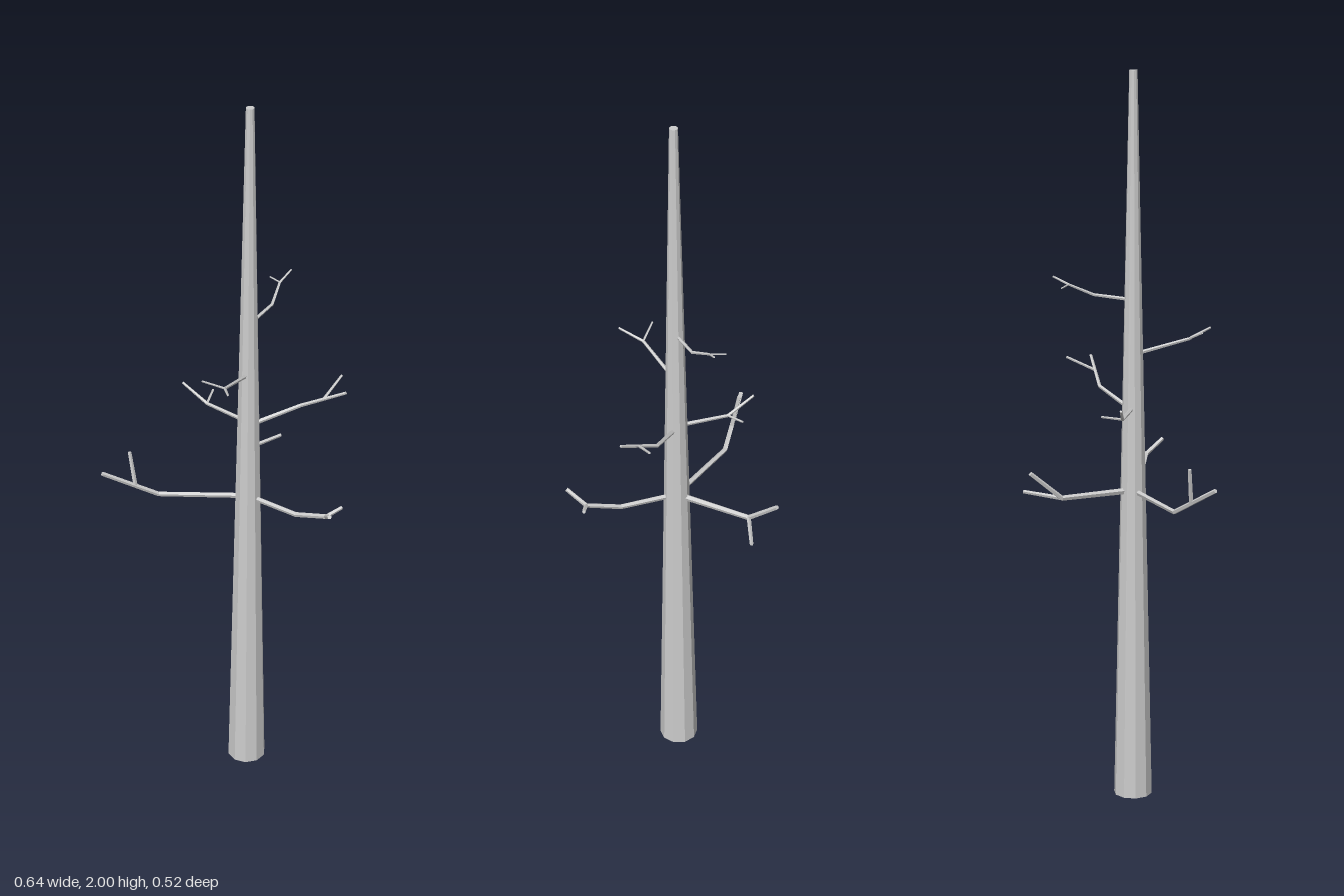
import * as THREE from 'three';

const TRUNK = { x: 0.064, z: 0.05, base: 0.053, top: 0.011, height: 2, sides: 10 };
const BRANCH_SIDES = 5;

// Lofts a tapering faceted limb through the points, with mitred rings and capped ends.
function limbGeometry(points, r0, r1) {
  const p = points.map((a) => new THREE.Vector3(...a));
  const last = p.length - 1;
  const side = new THREE.Vector3();
  const up = new THREE.Vector3();
  const positions = [];
  p.forEach((point, i) => {
    const dir = p[Math.min(i + 1, last)].clone().sub(p[Math.max(i - 1, 0)]).normalize();
    const ref = Math.abs(dir.y) > 0.95 ? new THREE.Vector3(1, 0, 0) : new THREE.Vector3(0, 1, 0);
    side.crossVectors(ref, dir).normalize();
    up.crossVectors(dir, side);
    const r = THREE.MathUtils.lerp(r0, r1, i / last);
    for (let k = 0; k < BRANCH_SIDES; k++) {
      const a = (k / BRANCH_SIDES) * Math.PI * 2 + Math.PI / 2;
      const v = point.clone().addScaledVector(side, Math.cos(a) * r).addScaledVector(up, Math.sin(a) * r);
      positions.push(v.x, v.y, v.z);
    }
  });
  const index = [];
  for (let i = 0; i < last; i++) {
    for (let k = 0; k < BRANCH_SIDES; k++) {
      const a = i * BRANCH_SIDES + k;
      const b = i * BRANCH_SIDES + ((k + 1) % BRANCH_SIDES);
      index.push(a, b, b + BRANCH_SIDES, a, b + BRANCH_SIDES, a + BRANCH_SIDES);
    }
  }
  const end = last * BRANCH_SIDES;
  for (let k = 1; k < BRANCH_SIDES - 1; k++) {
    index.push(0, k + 1, k, end, end + k, end + k + 1);
  }
  const indexed = new THREE.BufferGeometry();
  indexed.setAttribute('position', new THREE.Float32BufferAttribute(positions, 3));
  indexed.setIndex(index);
  const geometry = indexed.toNonIndexed();
  geometry.computeVertexNormals();
  return geometry;
}

// Each branch leaves the trunk axis at height y; path and twig are lists of [x, y, z].
const BRANCHES = [
  { name: 'lowerRightBranch', y: 0.87, r: [0.0075, 0.006],
    path: [[-0.175, 0.868, 0.053], [-0.32, 0.955, 0.097]],
    twig: [[-0.235, 0.904, 0.071], [-0.25, 1.0, 0.058]] },
  { name: 'lowerBackBranch', y: 0.87, r: [0.009, 0.006],
    path: [[0.047, 0.878, -0.17], [0.05, 0.955, -0.26]],
    twig: [[0.047, 0.878, -0.17], [0.14, 0.882, -0.24]] },
  { name: 'lowerFrontBranch', y: 0.87, r: [0.0075, 0.006],
    path: [[0.195, 0.874, 0.14], [0.275, 0.907, 0.195], [0.285, 0.943, 0.251]],
    twig: [[0.275, 0.907, 0.195], [0.316, 0.922, 0.172]] },
  { name: 'middleLeftBranch', y: 1.09, r: [0.0065, 0.004],
    path: [[0.2, 1.135, 0.015], [0.318, 1.195, 0.045]],
    twig: [[0.26, 1.166, 0.03], [0.305, 1.2, -0.035]] },
  { name: 'middleBackBranch', y: 1.1, r: [0.006, 0.0035],
    path: [[-0.05, 1.1, -0.038], [-0.117, 1.14, -0.075]],
    twig: [[-0.05, 1.1, -0.038], [-0.037, 1.11, -0.093]] },
  { name: 'upperFrontBranch', y: 1.245, r: [0.0055, 0.003],
    path: [[0.01, 1.285, 0.19], [0.022, 1.307, 0.26]],
    twig: [[0.01, 1.285, 0.19], [-0.047, 1.31, 0.2]] },
  { name: 'upperBackBranch', y: 1.393, r: [0.005, 0.0025],
    path: [[0.12, 1.405, -0.04], [0.137, 1.435, -0.105], [0.165, 1.455, -0.138]],
    twig: [[0.137, 1.435, -0.105], [0.11, 1.432, -0.138]] },
];

export function createModel() {
  const tree = new THREE.Group();
  tree.name = 'bareTree';
  const bark = new THREE.MeshStandardMaterial({ color: 0xcccccc, flatShading: true });

  const add = (parent, name, geometry) => {
    const mesh = new THREE.Mesh(geometry, bark);
    mesh.name = name;
    parent.add(mesh);
    return mesh;
  };

  // Tall tapering trunk
  const trunk = add(tree, 'trunk',
    new THREE.CylinderGeometry(TRUNK.top, TRUNK.base, TRUNK.height, TRUNK.sides));
  trunk.position.set(TRUNK.x, TRUNK.height / 2, TRUNK.z);

  // Kinked branches, each with one forking twig
  for (const { name, y, r, path, twig } of BRANCHES) {
    const branch = new THREE.Group();
    branch.name = name;
    add(branch, 'bough', limbGeometry([[TRUNK.x, y, TRUNK.z], ...path], r[0], r[1]));
    add(branch, 'twig', limbGeometry(twig, r[1], r[1] * 0.85));
    tree.add(branch);
  }
  return tree;
}
